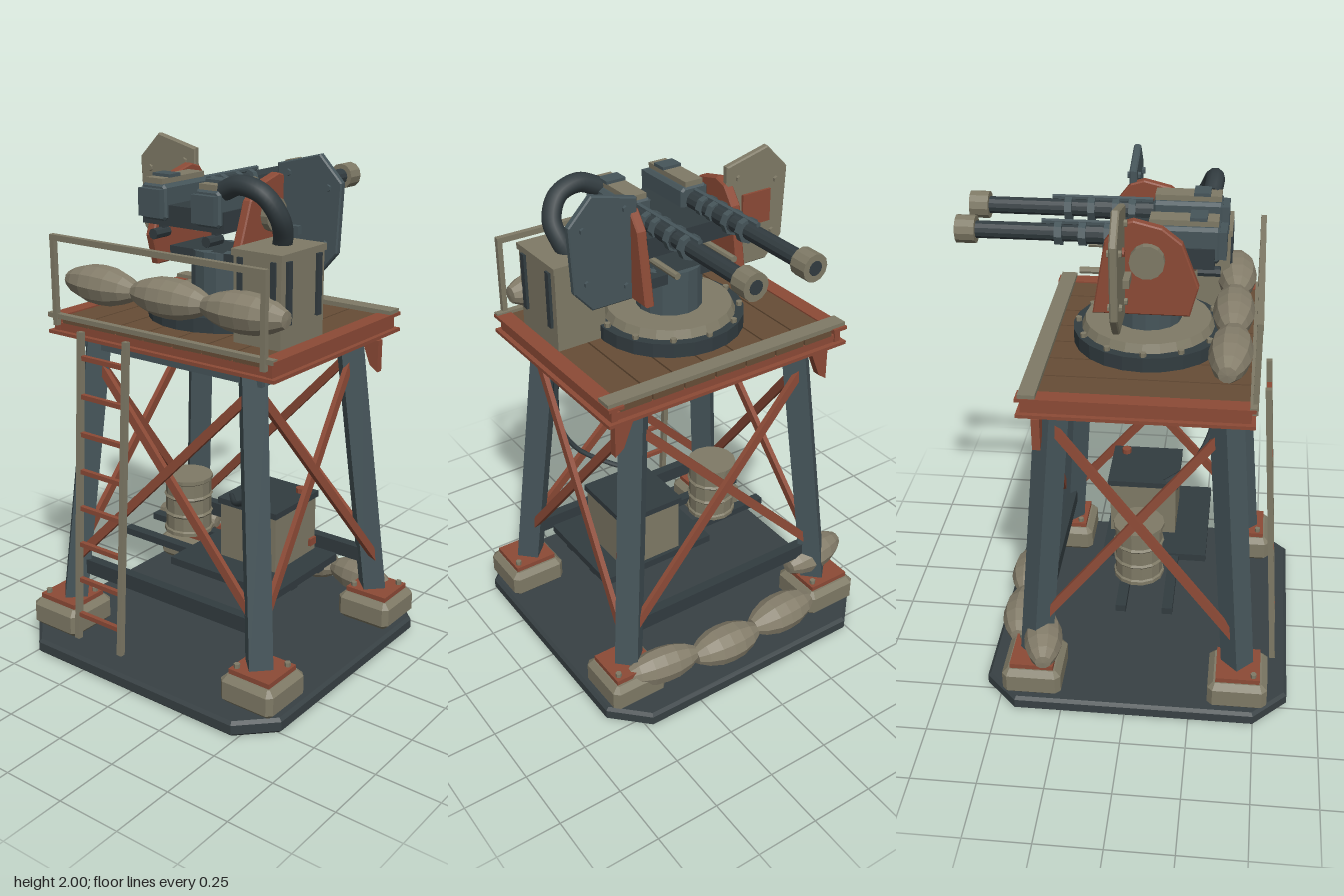
import * as THREE from 'three';

const mat = (name, color) => Object.assign(new THREE.MeshStandardMaterial({ color }), { name });
const V = (x, y, z) => new THREE.Vector3(x, y, z);
const UP = V(0, 1, 0);

export function createModel() {
  const model = new THREE.Group();
  model.name = 'gunTower';
  const steel = mat('blue grey steel', 0x46555a);
  const dark = mat('dark steel', 0x323c40);
  const slab = mat('slab grey', 0x384144);
  const tan = mat('olive tan', 0x7f7a66);
  const rust = mat('rust red', 0x8c4a36);
  const wood = mat('plank brown', 0x674d36);
  const bagCloth = mat('sandbag cloth', 0x857e6b);
  const CZ = 0.035; // tower centre in z

  // Faceted mesh helper
  function add(name, geo, material, x = 0, y = 0, z = 0, smooth = false) {
    let g = geo;
    if (!smooth) {
      g = geo.index ? geo.toNonIndexed() : geo;
      g.computeVertexNormals();
    }
    const m = new THREE.Mesh(g, material);
    m.name = name;
    m.position.set(x, y, z);
    model.add(m);
    return m;
  }
  const box = (name, material, w, h, d, x, y, z) =>
    add(name, new THREE.BoxGeometry(w, h, d), material, x, y, z);
  const cyl = (name, material, r, h, x, y, z, sides = 12, rTop = r) =>
    add(name, new THREE.CylinderGeometry(rTop, r, h, sides), material, x, y, z);
  // Bar running from point a to point b
  function bar(name, material, a, b, w, d = w) {
    const m = add(name, new THREE.BoxGeometry(w, a.distanceTo(b), d), material);
    m.position.copy(a).lerp(b, 0.5);
    m.quaternion.setFromUnitVectors(UP, b.clone().sub(a).normalize());
    return m;
  }
  const tube = (name, material, pts, r, sides) =>
    add(name, new THREE.TubeGeometry(new THREE.CatmullRomCurve3(pts), 28, r, sides), material, 0, 0, 0, true);
  const poly = pts => new THREE.Shape(pts.map(p => new THREE.Vector2(p[0], p[1])));
  // Plate with bevelled edges, centred on its thickness
  function plate(pts, depth, bevel = 0) {
    const g = new THREE.ExtrudeGeometry(poly(pts), {
      depth: depth - 2 * bevel, bevelEnabled: bevel > 0, bevelSize: bevel, bevelOffset: -bevel,
      bevelThickness: bevel, bevelSegments: 1,
    });
    return g.translate(0, 0, -depth / 2 + bevel);
  }
  const chamfered = (w, d, c) => [[-w + c, -d], [w - c, -d], [w, -d + c], [w, d - c],
    [w - c, d], [-w + c, d], [-w, d - c], [-w, -d + c]];

  // Ground slab
  add('groundSlab', plate(chamfered(0.61, 0.595, 0.13), 0.06, 0.012).rotateX(Math.PI / 2), slab, 0, 0.03, CZ);

  // Footings, legs and gussets
  const legAt = (sx, sz, y) => {
    const t = (y - 0.19) / 1.09;
    return V(sx * (0.46 - 0.1 * t), y, CZ + sz * (0.395 - 0.085 * t));
  };
  for (const sx of [-1, 1]) for (const sz of [-1, 1]) {
    const x = sx * 0.477, z = CZ + sz * 0.4;
    add('footing', plate(chamfered(0.117, 0.115, 0.02), 0.115, 0.022).rotateX(Math.PI / 2), tan, x, 0.117, z);
    box('footPlate', rust, 0.18, 0.022, 0.17, x, 0.183, z);
    for (const k of [-1, 1]) cyl('footBolt', tan, 0.012, 0.02, x + k * 0.07, 0.2, z - k * 0.06, 6);
    const a = legAt(sx, sz, 0.185), b = legAt(sx, sz, 1.285);
    const leg = cyl('leg', steel, 0.063, a.distanceTo(b), 0, 0, 0, 4);
    leg.position.copy(a).lerp(b, 0.5);
    leg.quaternion.setFromUnitVectors(UP, b.clone().sub(a).normalize());
  }
  for (const s of [-1, 1]) add('gusset',
    plate([[s * 0.4, 1.25], [s * 0.475, 1.25], [s * 0.475, 1.125], [s * 0.44, 1.15]], 0.03), rust, 0, 0, -0.32);

  // Cross braces on all four sides
  for (const s of [-1, 1]) for (const k of [-1, 1]) {
    const off = k * 0.012;
    const f1 = legAt(-k, s, 0.35), f2 = legAt(k, s, 1.19);
    const s1 = legAt(s, -k, 0.32), s2 = legAt(s, k, 1.19);
    f1.z += off + s * 0.02; f2.z += off + s * 0.02;
    s1.x += off + s * 0.02; s2.x += off + s * 0.02;
    bar('frontBrace', rust, f1, f2, 0.034, 0.02);
    bar('sideBrace', rust, s1, s2, 0.02, 0.034);
  }

  // Horizontal beams and lower shelf
  for (const s of [-1, 1]) {
    box('topBeam', steel, 0.84, 0.05, 0.06, 0, 1.255, CZ + s * 0.31);
    box('lowerBeam', dark, 0.88, 0.06, 0.04, 0, 0.33, CZ + s * 0.375);
    box('shelfBearer', dark, 0.84, 0.028, 0.04, 0, 0.385, 0.06 + s * 0.09);
  }
  box('shelf', dark, 0.5, 0.03, 0.42, 0.17, 0.392, 0.07);

  // Generator and drum
  box('generator', tan, 0.26, 0.225, 0.27, 0.195, 0.52, 0.01);
  box('generatorLid', dark, 0.275, 0.024, 0.29, 0.195, 0.643, 0.01);
  cyl('generatorCap', rust, 0.02, 0.025, 0.285, 0.662, -0.08, 8);
  box('generatorOutlet', rust, 0.012, 0.03, 0.04, 0.33, 0.45, -0.1);
  add('drum', new THREE.LatheGeometry([[0, 0], [0.1, 0], [0.1, 0.015], [0.093, 0.02], [0.093, 0.075], [0.1, 0.083],
    [0.093, 0.091], [0.093, 0.15], [0.1, 0.158], [0.093, 0.166], [0.093, 0.22], [0.1, 0.225], [0.1, 0.24], [0, 0.24]]
    .map(p => new THREE.Vector2(p[0], p[1])), 14), tan, -0.2, 0.405, 0.02);
  tube('powerCable', dark, [V(0.08, 0.65, 0.1), V(0.18, 0.675, 0.2), V(0.3, 0.76, 0.27), V(0.36, 0.9, 0.29),
    V(0.34, 1.17, 0.31), V(0.34, 1.32, 0.29), V(0.3, 1.4, 0.25)], 0.011, 6);

  // Deck: planks, channel beams and kerb
  for (let i = 0; i < 7; i++)
    box('plank', wood, 0.127, 0.03, 0.79, (i - 3) * 0.134, 1.338, CZ);
  for (const s of [-1, 1]) {
    const x = s * 0.492, z = CZ + s * 0.395;
    box('sideWeb', rust, 0.025, 0.06, 0.8, x, 1.32, CZ);
    for (const y of [1.289, 1.352]) box('sideFlange', rust, 0.062, 0.013, 0.83, x, y, CZ);
    box('endWeb', rust, 0.98, 0.04, 0.02, 0, 1.305, z - s * 0.01);
    box('endFlange', rust, 1.04, 0.013, 0.04, 0, 1.289, z);
    box('joist', rust, 0.03, 0.04, 0.78, s * 0.2, 1.302, CZ);
  }
  box('backKerb', tan, 1.04, 0.018, 0.062, 0, 1.364, -0.339);
  box('frontKerb', tan, 1.04, 0.018, 0.025, 0, 1.356, 0.44);

  // Handrail
  for (const s of [-1, 1]) box('railPost', tan, 0.02, 0.34, 0.02, s * 0.48, 1.49, 0.447);
  box('handrail', tan, 0.98, 0.022, 0.022, 0, 1.655, 0.447);

  // Ladder
  const ladderZ = y => 0.57 - (y - 0.1) * 0.065;
  for (const x of [-0.315, -0.095]) bar('ladderRail', tan, V(x, 0.1, ladderZ(0.1)), V(x, 1.33, ladderZ(1.33)), 0.022);
  for (let i = 0; i < 8; i++)
    box('ladderRung', rust, 0.21, 0.018, 0.018, -0.205, 0.205 + i * 0.147, ladderZ(0.205 + i * 0.147));

  // Sandbags: length along x, yaw, and half depth
  const bagProfile = [[0, -1], [0.42, -0.98], [0.72, -0.72], [0.95, -0.35], [1, 0], [0.95, 0.35], [0.72, 0.72],
    [0.42, 0.98], [0, 1]].map(p => new THREE.Vector2(p[0], p[1]));
  function sandbag(x, y, z, half, yaw = 0, ry = 0.073, rz = 0.083) {
    const g = new THREE.LatheGeometry(bagProfile, 10).rotateZ(Math.PI / 2).scale(half, ry, rz);
    add('sandbag', g, bagCloth, x, y, z).rotation.y = yaw;
  }
  sandbag(-0.212, 0.157, -0.458, 0.15, 0.04);
  sandbag(0.078, 0.152, -0.473, 0.145, -0.03);
  sandbag(0.357, 0.162, -0.44, 0.148, -0.13, 0.073, 0.068);
  sandbag(-0.478, 0.26, -0.328, 0.145, 0.15, 0.07, 0.075);
  for (let i = -1; i < 2; i++) sandbag(i * 0.33, 1.477, 0.352, 0.172, i * 0.04, 0.075, 0.078);

  // Turret ring and pedestal
  cyl('turretRing', dark, 0.285, 0.055, 0, 1.383, CZ + 0.005, 24);
  cyl('ringPlate', tan, 0.25, 0.035, 0, 1.425, CZ, 24, 0.235);
  for (let i = 0; i < 12; i++) {
    const a = i * Math.PI / 6;
    cyl('ringBolt', tan, 0.012, 0.02, 0.267 * Math.cos(a), 1.416, CZ + 0.005 + 0.267 * Math.sin(a), 6);
  }
  cyl('pedestal', steel, 0.125, 0.17, 0, 1.525, CZ, 16);
  box('yokeBase', dark, 0.38, 0.04, 0.2, 0, 1.59, CZ);
  box('cradle', dark, 0.37, 0.075, 0.39, 0, 1.755, 0.085);

  // Yoke plates, trunnion hubs and shields
  const yokeShape = [[-0.145, 1.55], [0.2, 1.55], [0.23, 1.66], [0.17, 1.82], [0.1, 1.875], [0, 1.9], [-0.05, 1.885], [-0.1, 1.82]];
  for (const s of [-1, 1]) {
    add('yokePlate', plate(yokeShape, 0.038, 0.005).rotateY(-Math.PI / 2), rust, s * 0.2, 0, 0);
    cyl('trunnionHub', tan, 0.062, 0.03, s * 0.232, 1.76, 0.05, 14).rotation.z = Math.PI / 2;
    const top = s < 0 ? 0 : -0.02;
    const shape = [[0.19, 1.55], [0.38, 1.55], [0.45, 1.63], [0.463, 1.9 + top], [0.37, 1.995 + top], [0.19, 1.95 + top]]
      .map(p => [s * p[0], p[1]]);
    add(s < 0 ? 'rightShield' : 'leftShield', plate(shape, 0.028, 0.005), s < 0 ? tan : steel, 0, 0, -0.042);
    for (const [x, y] of [[0.24, 1.9], [0.41, 1.86], [0.4, 1.66], [0.24, 1.61]])
      cyl('shieldBolt', s < 0 ? tan : steel, 0.013, 0.05, s * x, y, -0.042, 6).rotation.x = Math.PI / 2;
    box('shieldArm', s < 0 ? tan : steel, 0.1, 0.03, 0.03, s * 0.25, 1.7, -0.02);
  }
  box('shieldPatch', rust, 0.125, 0.125, 0.012, -0.32, 1.77, -0.06);
  cyl('patchRivet', rust, 0.017, 0.012, -0.3, 1.82, -0.025, 8).rotation.x = Math.PI / 2;

  // Twin guns
  for (const s of [-1, 1]) {
    const x = s * 0.121, y = 1.81;
    const along = (name, m, r, z0, z1, sides, yy = y) => {
      cyl(name, m, r, z0 - z1, x, yy, (z0 + z1) / 2, sides).rotation.x = Math.PI / 2;
    };
    add('receiver', plate(chamfered(0.057, 0.065, 0.012), 0.25, 0.008), steel, x, 1.8, 0.17);
    box('receiverBack', steel, 0.1, 0.1, 0.03, x, 1.8, 0.305);
    box('topCover', tan, 0.075, 0.02, 0.24, x, 1.875, 0.17);
    box('rearSight', steel, 0.08, 0.012, 0.06, x, 1.89, 0.22);
    along('gripTube', dark, 0.02, 0.3, 0.22, 8, 1.685);
    box('gripBracket', dark, 0.02, 0.06, 0.03, x, 1.715, 0.24);
    along('barrel', dark, 0.031, 0.05, -0.57, 12);
    along('barrelJacket', dark, 0.037, 0.05, -0.2, 12);
    for (const z of [-0.035, -0.095, -0.185, -0.27]) along('barrelClamp', steel, 0.047, z + 0.013, z - 0.013, 8);
    along('gasTube', steel, 0.01, 0.04, -0.33, 6, 1.85);
    along('recoilRod', tan, 0.013, 0.05, -0.2, 8, 1.67);
    along('muzzle', tan, 0.05, -0.565, -0.635, 12);
    along('bore', dark, 0.026, -0.6, -0.637, 12);
  }

  // Ammunition box and feed chute
  box('ammoBox', tan, 0.2, 0.31, 0.26, 0.36, 1.51, 0.195);
  box('ammoLid', tan, 0.212, 0.024, 0.272, 0.36, 1.675, 0.195);
  for (const z of [0.105, 0.285]) box('ammoStrap', dark, 0.012, 0.22, 0.025, 0.465, 1.55, z);
  for (const x of [0.29, 0.43]) box('ammoFrontStrap', dark, 0.02, 0.22, 0.01, x, 1.55, 0.328);
  tube('feedChute', dark, [V(0.16, 1.86, 0.25), V(0.24, 1.89, 0.258), V(0.33, 1.865, 0.25), V(0.375, 1.79, 0.22),
    V(0.365, 1.72, 0.18), V(0.345, 1.67, 0.16)], 0.036, 10);

  return model;
}
